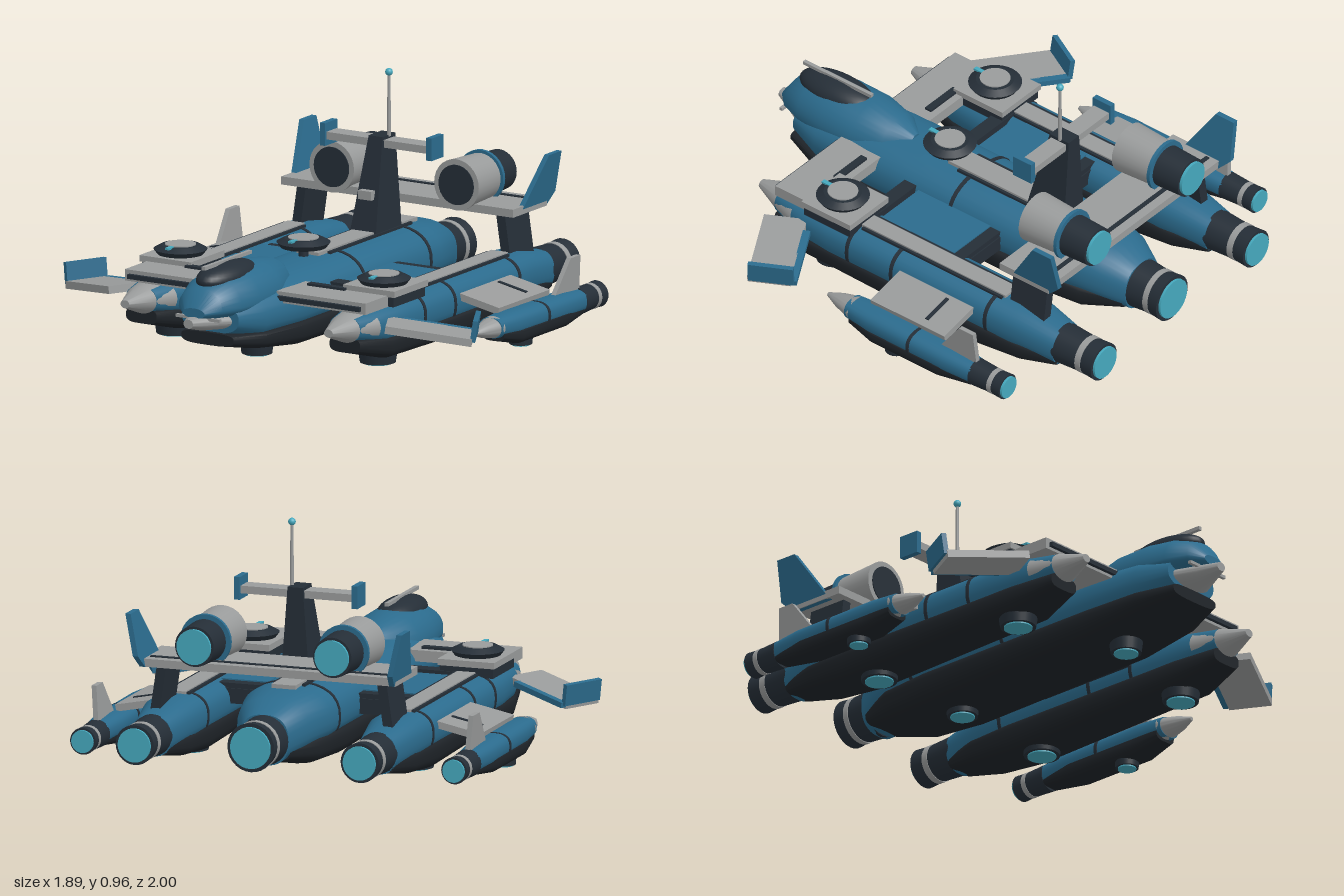
import * as THREE from 'three';
import { toCreasedNormals } from 'three/addons/utils/BufferGeometryUtils.js';

const mat = (name, color) => {
  const m = new THREE.MeshStandardMaterial({ color });
  m.name = name;
  return m;
};

export function createModel() {
  const root = new THREE.Group();
  root.name = 'spacecraft';
  const blue = mat('hull blue', 0x2b6b8d);
  const dark = mat('dark slate', 0x252e37);
  const keelMat = mat('keel black', 0x1e2328);
  const light = mat('light grey', 0x999b9b);
  const cyan = mat('glow cyan', 0x45a8bd);

  const add = (name, geo, material, x = 0, y = 0, z = 0, parent = root) => {
    const m = new THREE.Mesh(geo, material);
    m.name = name;
    m.position.set(x, y, z);
    parent.add(m);
    return m;
  };
  const box = (name, material, w, h, d, x, y, z, parent) =>
    add(name, new THREE.BoxGeometry(w, h, d), material, x, y, z, parent);
  // Cylinder along z, from front z0 (radius r0) to back z1 (radius r1)
  const tubeZ = (name, material, x, y, z0, z1, r0, r1 = r0) =>
    add(name, new THREE.CylinderGeometry(r0, r1, z0 - z1, 28).rotateX(Math.PI / 2), material, x, y, (z0 + z1) / 2);
  const disc = (name, material, x, y, z, rTop, rBottom, h) =>
    add(name, new THREE.CylinderGeometry(rTop, rBottom, h, 28), material, x, y, z);

  // Loft through rows [z, centreY, halfWidth, riseAbove, dropBelow], front to back
  const loft = (name, material, rows, x = 0, e = 0.8) => {
    const N = 32, pos = [], idx = [];
    const pw = v => Math.sign(v) * Math.abs(v) ** e;
    for (const [z, cy, rx, up, down] of rows)
      for (let j = 0; j < N; j++) {
        const a = j / N * Math.PI * 2, s = pw(Math.sin(a));
        pos.push(rx * pw(Math.cos(a)), cy + s * (s > 0 ? up : down), z);
      }
    const last = (rows.length - 1) * N, c0 = rows.length * N;
    pos.push(0, rows[0][1], rows[0][0], 0, rows.at(-1)[1], rows.at(-1)[0]);
    for (let j = 0; j < N; j++) {
      const k = (j + 1) % N;
      for (let i = 0; i < last; i += N) idx.push(i + j, i + N + j, i + k, i + k, i + N + j, i + N + k);
      idx.push(c0, j, k, c0 + 1, last + k, last + j);
    }
    const g = new THREE.BufferGeometry();
    g.setAttribute('position', new THREE.Float32BufferAttribute(pos, 3));
    g.setIndex(idx);
    return add(name, toCreasedNormals(g, 0.6), material, x);
  };

  // Upright plate from [z, y] points, leaning sideways with height
  const fin = (name, material, pts, t, x, lean = 0) => {
    const shape = new THREE.Shape(pts.map(p => new THREE.Vector2(...p)));
    const g = new THREE.ExtrudeGeometry(shape, { depth: t, bevelEnabled: false });
    g.translate(0, 0, -t / 2).rotateY(-Math.PI / 2);
    const p = g.attributes.position, y0 = pts[0][1];
    for (let i = 0; i < p.count; i++) p.setX(i, p.getX(i) + (p.getY(i) - y0) * lean);
    g.computeVertexNormals();
    return add(name, g, material, x);
  };

  const engine = (name, x, y, z0, z1, r) => {
    const L = z0 - z1;
    tubeZ(name + 'Collar', dark, x, y, z0, z0 - L * 0.55, r * 1.04, r * 0.95);
    tubeZ(name + 'Ring', light, x, y, z0 - L * 0.55, z0 - L * 0.68, r * 0.98);
    tubeZ(name + 'Nozzle', dark, x, y, z0 - L * 0.68, z1 + 0.01, r * 0.95, r);
    tubeZ(name + 'Glow', cyan, x, y, z1 + 0.012, z1, r * 0.85);
  };
  const lifter = (x, y, z, r) => {
    disc('lifter', dark, x, y + 0.02, z, r * 1.1, r, 0.045);
    disc('lifterGlow', cyan, x, y - 0.004, z, r * 0.8, r * 0.8, 0.008);
  };
  const turret = (x, y, z) => {
    disc('turretBase', dark, x, y + 0.01, z, 0.105, 0.09, 0.02);
    disc('turretTop', dark, x, y + 0.028, z, 0.075, 0.105, 0.016);
    disc('turretCap', light, x, y + 0.037, z, 0.06, 0.06, 0.006);
    box('turretMark', cyan, 0.018, 0.008, 0.04, x, y + 0.036, z + 0.08);
  };

  // Central hull
  loft('mainHull', blue, [
    [0.84, 0.22, 0.13, 0.06, 0.06], [0.7, 0.21, 0.175, 0.1, 0.1], [0.45, 0.2, 0.188, 0.13, 0.1],
    [-0.55, 0.2, 0.188, 0.13, 0.1], [-0.7, 0.19, 0.15, 0.12, 0.1], [-0.8, 0.165, 0.1, 0.1, 0.1]]);
  loft('mainKeel', keelMat, [
    [0.86, 0.145, 0.12, 0.02, 0.03], [0.7, 0.13, 0.175, 0.035, 0.05], [0.45, 0.12, 0.193, 0.045, 0.075],
    [-0.4, 0.12, 0.193, 0.045, 0.09], [-0.62, 0.12, 0.17, 0.045, 0.08], [-0.78, 0.12, 0.1, 0.03, 0.04]], 0, 0.6);
  for (const z of [0.01, -0.47])
    loft('hullBand', dark, [[z + 0.008, 0.2, 0.191, 0.134, 0.1], [z - 0.008, 0.2, 0.191, 0.134, 0.1]]);
  loft('noseCone', light, [
    [1, 0.225, 0.022, 0.018, 0.018], [0.92, 0.22, 0.06, 0.03, 0.035], [0.72, 0.205, 0.16, 0.05, 0.045]], 0, 1);
  box('noseBar', light, 0.2, 0.012, 0.014, 0, 0.235, 0.925);
  box('spine', light, 0.1, 0.016, 0.72, 0, 0.333, -0.23);
  for (const s of [1, -1]) box('spineRail', dark, 0.012, 0.016, 0.6, s * 0.06, 0.328, -0.23);
  engine('mainEngine', 0, 0.165, -0.78, -0.96, 0.097);
  lifter(0, 0.015, 0.5, 0.06);
  lifter(0, 0.015, -0.36, 0.06);
  disc('turretPost', dark, 0, 0.35, 0.16, 0.02, 0.02, 0.04);
  turret(0, 0.366, 0.16);

  // Cockpit
  loft('cockpitHull', blue, [
    [0.96, 0.26, 0.05, 0.02, 0.02], [0.91, 0.27, 0.1, 0.08, 0.04], [0.82, 0.27, 0.133, 0.115, 0.05],
    [0.7, 0.27, 0.147, 0.13, 0.06], [0.55, 0.27, 0.145, 0.128, 0.06], [0.42, 0.27, 0.11, 0.108, 0.05],
    [0.33, 0.28, 0.035, 0.06, 0.04]], 0, 0.95);
  add('canopy', new THREE.SphereGeometry(1, 32, 20).scale(0.085, 0.057, 0.18), dark, 0, 0.367, 0.72);
  box('canopyRib', light, 0.016, 0.014, 0.34, 0, 0.424, 0.72);

  // Mast with crossbar and antenna
  const tower = fin('mastTower', dark, [[-0.27, 0.32], [-0.365, 0.7], [-0.46, 0.7], [-0.46, 0.32]], 0.12, 0);
  const tp = tower.geometry.attributes.position;
  for (let i = 0; i < tp.count; i++) tp.setX(i, tp.getX(i) * (1 - (tp.getY(i) - 0.32) * 1.25));
  tower.geometry.computeVertexNormals();
  box('mastSensor', light, 0.06, 0.035, 0.03, 0, 0.48, -0.3);
  box('mastCrossbar', light, 0.46, 0.03, 0.075, 0, 0.672, -0.41);
  disc('antenna', light, 0.03, 0.82, -0.415, 0.006, 0.008, 0.25);
  add('antennaTip', new THREE.SphereGeometry(0.015, 16, 12), cyan, 0.03, 0.95, -0.415);

  // Beams spanning the hulls
  box('frontBeam', light, 1.1, 0.045, 0.2, 0, 0.27, 0.485);
  box('frontBeamEdge', dark, 1.06, 0.018, 0.03, 0, 0.268, 0.585);
  box('midBeam', dark, 0.9, 0.05, 0.06, 0, 0.24, 0.215);
  box('tailPlate', light, 1.06, 0.032, 0.245, 0, 0.426, -0.645);
  box('tailPlateStripe', dark, 1.0, 0.006, 0.018, 0, 0.443, -0.72);

  for (const s of [1, -1]) {
    box('mastEndplate', blue, 0.024, 0.09, 0.09, s * 0.243, 0.677, -0.41);
    box('frontBeamSlot', dark, 0.17, 0.012, 0.03, s * 0.28, 0.296, 0.43);

    // Panels between the hulls
    box('innerPanel', blue, 0.24, 0.04, 0.36, s * 0.3, 0.235, -0.01);
    box('innerPanelFrame', dark, 0.24, 0.06, 0.45, s * 0.3, 0.2, -0.02);
    box('innerPanelEdge', dark, 0.24, 0.03, 0.05, s * 0.3, 0.235, -0.215);

    // Side hull
    const x = s * 0.465;
    loft('sideHull', blue, [
      [0.6, 0.185, 0.07, 0.05, 0.05], [0.45, 0.175, 0.11, 0.08, 0.08], [0.3, 0.17, 0.117, 0.09, 0.09],
      [-0.6, 0.17, 0.117, 0.09, 0.09], [-0.8, 0.145, 0.08, 0.08, 0.08]], x);
    loft('sideKeel', keelMat, [
      [0.6, 0.12, 0.07, 0.03, 0.03], [0.42, 0.1, 0.115, 0.04, 0.06], [-0.45, 0.1, 0.122, 0.04, 0.08],
      [-0.65, 0.1, 0.11, 0.04, 0.06], [-0.8, 0.1, 0.07, 0.03, 0.03]], x, 0.6);
    loft('sideNose', light, [
      [0.72, 0.19, 0.02, 0.016, 0.016], [0.6, 0.185, 0.07, 0.055, 0.055], [0.5, 0.18, 0.102, 0.072, 0.07]], x, 1);
    for (const z of [0.2, -0.02, -0.49])
      loft('sideBand', dark, [[z + 0.008, 0.17, 0.12, 0.093, 0.09], [z - 0.008, 0.17, 0.12, 0.093, 0.09]], x);
    box('sideSpine', light, 0.075, 0.014, 0.72, x, 0.262, -0.17);
    for (const t of [1, -1]) box('sideSpineRail', dark, 0.012, 0.014, 0.7, x + t * 0.045, 0.258, -0.17);
    engine('sideEngine', x, 0.148, -0.79, -1, 0.079);
    lifter(x, 0.01, 0.36, 0.07);
    lifter(x, 0.01, -0.37, 0.07);

    // Turret deck
    box('turretDeck', light, 0.235, 0.025, 0.245, x, 0.3, 0.305);
    box('turretDeckBase', dark, 0.22, 0.04, 0.23, x, 0.268, 0.305);
    turret(x, 0.312, 0.315);

    // Swept front wing with winglet
    const wing = new THREE.Group();
    wing.name = 'frontWing';
    wing.position.set(s * 0.735, 0.172, 0.41);
    wing.rotation.set(0, s * 0.49, -s * 0.14);
    root.add(wing);
    box('frontWingPanel', light, 0.34, 0.03, 0.17, 0, 0, 0.01, wing);
    box('frontWingFlap', blue, 0.28, 0.022, 0.03, s * 0.03, 0.004, -0.085, wing);
    box('winglet', blue, 0.02, 0.085, 0.18, s * 0.172, 0.045, 0, wing);

    // Rear wing carrying the pod
    const rear = new THREE.Group();
    rear.name = 'rearWing';
    rear.position.set(s * 0.655, 0.178, -0.245);
    rear.rotation.z = -s * 0.2;
    root.add(rear);
    box('rearWingPanel', light, 0.2, 0.028, 0.37, 0, 0, 0, rear);
    box('rearWingStripe', dark, 0.13, 0.006, 0.016, 0, 0.015, -0.07, rear);

    // Outer pod
    const px = s * 0.767;
    loft('podHull', blue, [
      [0.02, 0.11, 0.052, 0.04, 0.04], [-0.1, 0.105, 0.063, 0.05, 0.05],
      [-0.48, 0.1, 0.065, 0.05, 0.05], [-0.62, 0.095, 0.05, 0.045, 0.045]], px);
    loft('podKeel', keelMat, [
      [0, 0.085, 0.05, 0.015, 0.03], [-0.12, 0.07, 0.066, 0.02, 0.045],
      [-0.45, 0.07, 0.066, 0.02, 0.045], [-0.6, 0.07, 0.045, 0.02, 0.025]], px, 0.6);
    loft('podNose', light, [
      [0.14, 0.11, 0.008, 0.008, 0.008], [0.08, 0.11, 0.034, 0.028, 0.028], [0, 0.11, 0.056, 0.044, 0.044]], px, 1);
    loft('podBand', dark, [[-0.3, 0.1, 0.068, 0.053, 0.05], [-0.314, 0.1, 0.068, 0.053, 0.05]], px);
    engine('podEngine', px, 0.092, -0.6, -0.765, 0.053);
    lifter(px, 0.008, -0.2, 0.045);
    fin('podFin', light, [[-0.42, 0.13], [-0.53, 0.28], [-0.6, 0.28], [-0.61, 0.13]], 0.02, px, s * 0.08);

    // Tail supports, fins and upper nacelles
    fin('tailPylon', dark, [[-0.55, 0.24], [-0.55, 0.415], [-0.72, 0.415], [-0.72, 0.22]], 0.04, s * 0.48, -s * 0.15);
    fin('tailFin', blue, [[-0.58, 0.41], [-0.72, 0.625], [-0.81, 0.625], [-0.82, 0.46], [-0.77, 0.41]], 0.022, s * 0.515, s * 0.21);
    const nx = s * 0.285;
    tubeZ('nacelle', light, nx, 0.515, -0.5, -0.68, 0.102, 0.092);
    tubeZ('nacelleIntake', dark, nx, 0.515, -0.496, -0.52, 0.08);
    tubeZ('nacelleFlange', blue, nx, 0.515, -0.675, -0.69, 0.104);
    tubeZ('nacelleNozzle', dark, nx, 0.515, -0.69, -0.812, 0.085, 0.08);
    tubeZ('nacelleGlow', cyan, nx, 0.515, -0.81, -0.824, 0.07);
  }
  return root;
}
